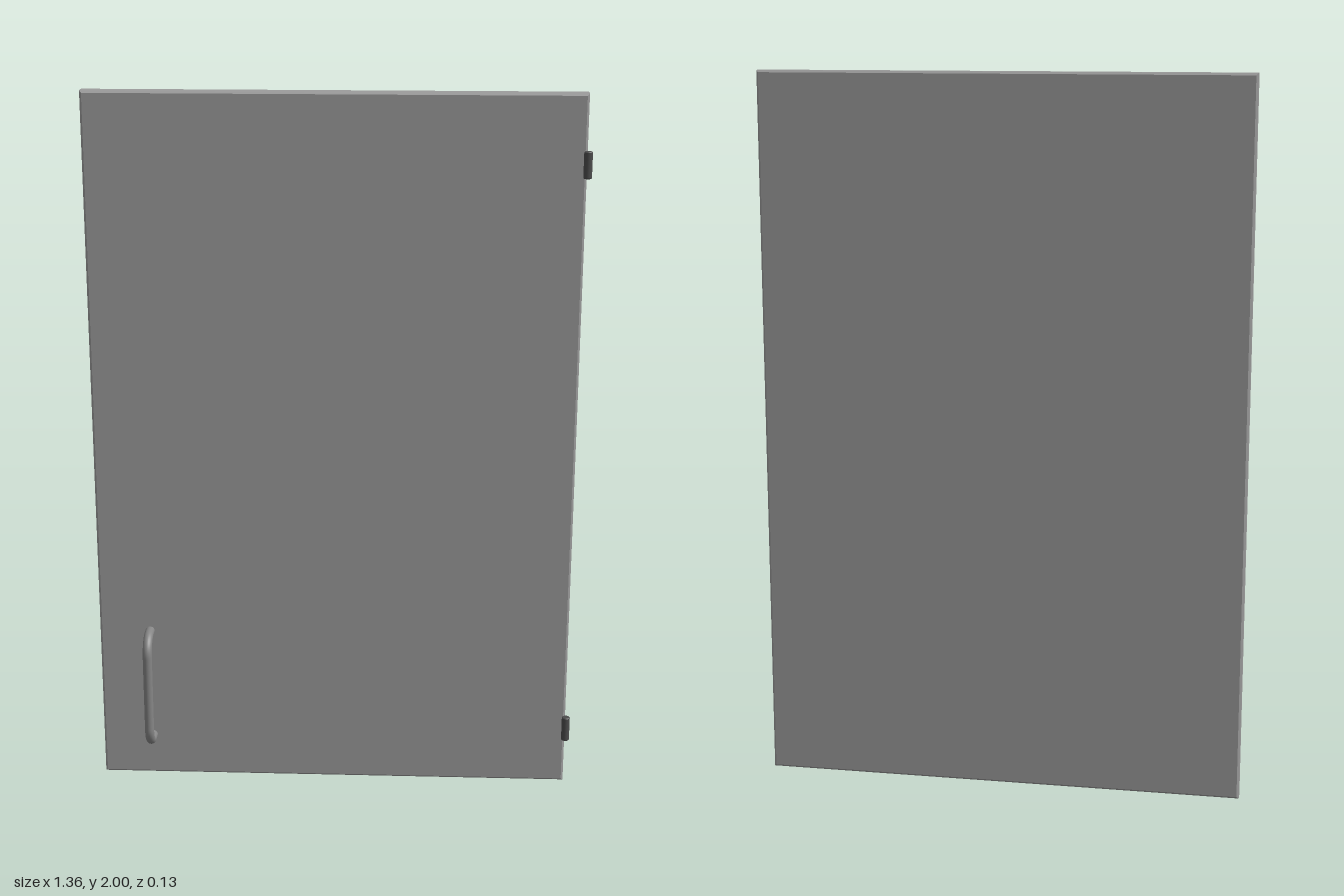
import * as THREE from 'three';

export function createModel() {
  const group = new THREE.Group();
  const add = (name, geometry, color, x, y, z) => {
    const mesh = new THREE.Mesh(geometry, new THREE.MeshStandardMaterial({ color }));
    mesh.name = name;
    mesh.position.set(x, y, z);
    group.add(mesh);
  };

  // Door panel with a narrow chamfer around the front and back faces
  const left = -0.68, right = 0.669, back = -0.0655, front = -0.021, chamfer = 0.006;
  const outline = new THREE.Shape([[left, 0], [right, 0], [right, 2], [left, 2]].map(([x, y]) => new THREE.Vector2(x, y)));
  const panel = new THREE.ExtrudeGeometry(outline, {
    depth: front - back - 2 * chamfer,
    bevelSize: chamfer,
    bevelOffset: -chamfer,
    bevelThickness: chamfer,
    bevelSegments: 1,
  });
  add('doorPanel', panel, 0x9c9c9c, 0, 0, back + chamfer);

  // Bow handle: two posts joined to a vertical grip by rounded bends
  const V = (y, z) => new THREE.Vector3(0, y, z);
  const half = 0.165, bend = 0.052, reach = 0.053, c = bend * 0.4477;
  const path = new THREE.CurvePath();
  path.add(new THREE.LineCurve3(V(-half, front - 0.005), V(-half, reach - bend)));
  path.add(new THREE.CubicBezierCurve3(V(-half, reach - bend), V(-half, reach - c), V(-half + c, reach), V(-half + bend, reach)));
  path.add(new THREE.LineCurve3(V(-half + bend, reach), V(half - bend, reach)));
  path.add(new THREE.CubicBezierCurve3(V(half - bend, reach), V(half - c, reach), V(half, reach - c), V(half, reach - bend)));
  path.add(new THREE.LineCurve3(V(half, reach - bend), V(half, front - 0.005)));
  add('handle', new THREE.TubeGeometry(path, 80, 0.0132, 20), 0x868686, -0.535, 0.288, 0);

  // Hinge barrels with slightly bevelled ends
  const r = 0.0115, h = 0.036, b = 0.002;
  const profile = [[0, -h], [r - b, -h], [r - b, -h], [r, -h + b], [r, -h + b], [r, h - b], [r, h - b], [r - b, h], [r - b, h], [0, h]]
    .map(([x, y]) => new THREE.Vector2(x, y));
  for (const [name, y] of [['lowerHinge', 0.174], ['upperHinge', 1.814]]) {
    add(name, new THREE.LatheGeometry(profile, 24), 0x4c4c4c, 0.67, y, front + r);
  }

  return group;
}
